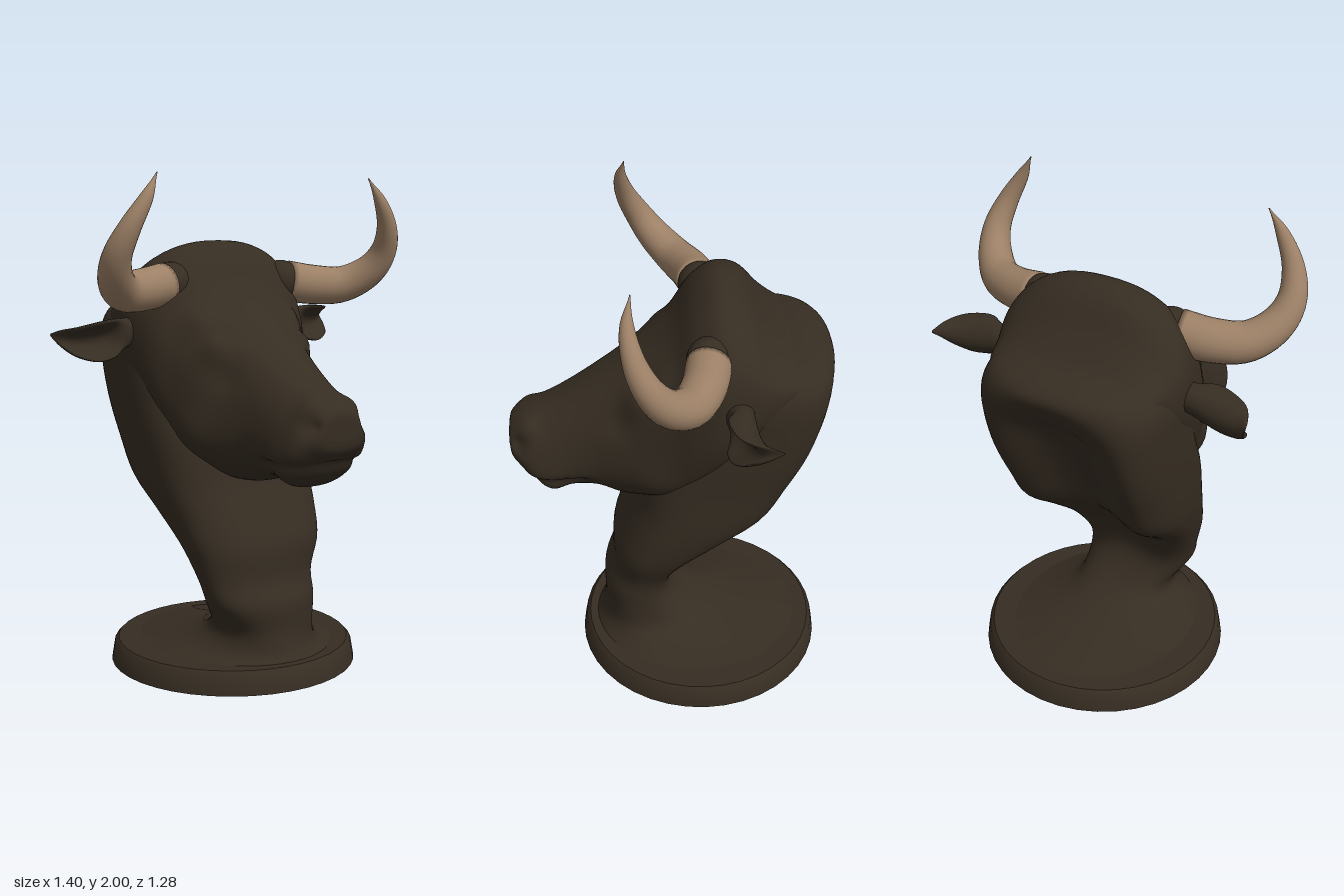
import * as THREE from 'three';
import { toCreasedNormals } from 'three/addons/utils/BufferGeometryUtils.js';

// Smooth interpolation through rows of numbers, u in 0..1
function sample(rows, u) {
  const f = Math.min(u * (rows.length - 1), rows.length - 1.0001);
  const i = Math.floor(f), t = f - i;
  const row = k => rows[Math.max(0, Math.min(rows.length - 1, k))];
  return rows[0].map((_, c) => {
    const a = row(i - 1)[c], b = row(i)[c], d = row(i + 1)[c], e = row(i + 2)[c];
    return b + 0.5 * t * (d - a + t * (2 * a - 5 * b + 4 * d - e + t * (3 * (b - d) + e - a)));
  });
}

// Closed skin through rings given by point(u, angle), capped at both ends, always facing outward
function loft(rings, sides, point) {
  const pts = [], index = [];
  for (let i = 0; i <= rings; i++)
    for (let j = 0; j < sides; j++) pts.push(point(i / rings, (j / sides) * Math.PI * 2));
  for (let i = 0; i < rings; i++)
    for (let j = 0; j < sides; j++) {
      const k = (j + 1) % sides;
      const a = i * sides + j, b = i * sides + k, c = a + sides, d = b + sides;
      index.push(a, b, c, b, d, c);
    }
  for (const start of [0, rings * sides]) {
    const centre = new THREE.Vector3();
    for (let j = 0; j < sides; j++) centre.addScaledVector(pts[start + j], 1 / sides);
    pts.push(centre);
    for (let j = 0; j < sides; j++) {
      const a = start + j, b = start + (j + 1) % sides;
      index.push(pts.length - 1, ...(start ? [a, b] : [b, a]));
    }
  }
  let volume = 0;
  const cross = new THREE.Vector3();
  for (let i = 0; i < index.length; i += 3)
    volume += pts[index[i]].dot(cross.crossVectors(pts[index[i + 1]], pts[index[i + 2]]));
  if (volume < 0) index.reverse();
  const g = new THREE.BufferGeometry().setFromPoints(pts);
  g.setIndex(index);
  g.computeVertexNormals();
  return g;
}

// Superellipse coordinate
const power = (v, n) => Math.sign(v) * Math.pow(Math.abs(v), 2 / n);

// Head cross-sections: z, centre x, top, bottom, half width, roundness, narrowing towards the top
const headRows = [
  [0.645, -0.025, 1.12, 1.03, 0.08, 2.2, 0.1], [0.635, -0.025, 1.145, 0.99, 0.11, 2.3, 0.2],
  [0.60, -0.025, 1.175, 0.95, 0.14, 2.4, 0.25], [0.55, -0.025, 1.20, 0.89, 0.168, 2.4, 0.25],
  [0.48, -0.025, 1.23, 0.835, 0.182, 2.4, 0.2], [0.40, -0.025, 1.275, 0.855, 0.187, 2.4, 0.15],
  [0.30, -0.025, 1.34, 0.85, 0.205, 2.4, 0.1], [0.20, -0.025, 1.405, 0.815, 0.245, 2.4, 0.05],
  [0.10, -0.025, 1.475, 0.81, 0.29, 2.4, 0], [0.0, -0.02, 1.57, 0.83, 0.335, 2.4, 0],
  [-0.08, -0.015, 1.69, 0.88, 0.375, 2.4, 0], [-0.17, -0.01, 1.75, 0.98, 0.40, 2.4, 0],
  [-0.27, -0.02, 1.715, 1.10, 0.40, 2.5, 0], [-0.36, -0.025, 1.61, 1.22, 0.375, 2.5, 0],
  [-0.45, -0.025, 1.525, 1.36, 0.34, 2.4, 0], [-0.53, -0.025, 1.49, 1.41, 0.26, 2.3, 0],
];

// Mirrored bumps and dents of the head: x, y, z, radius, amount
const features = [
  [0.11, 1.08, 0.60, 0.035, -0.03],  // nostril
  [0.09, 1.14, 0.57, 0.045, 0.015],  // nostril wing
  [0.22, 1.34, 0.15, 0.05, 0.025],   // eyelid
  [0.22, 1.24, 0.20, 0.07, -0.02],   // hollow below the eye
  [0.24, 1.45, 0.06, 0.06, 0.02],    // brow
  [0.28, 1.00, 0.08, 0.10, 0.025],   // cheek
];

function headGeometry() {
  return loft(80, 72, (u, a) => {
    const [z, cx, top, bottom, w, n, taper] = sample(headRows, u);
    const mid = (top + bottom) / 2;
    const rise = power(Math.cos(a), n);
    const dx = w * power(Math.sin(a), n) * (1 - taper * rise), dy = (top - bottom) / 2 * rise;
    let push = 0;
    for (const [fx, fy, fz, r, amount] of features) {
      const d2 = (Math.abs(dx) - fx) ** 2 + (mid + dy - fy) ** 2 + (z - fz) ** 2;
      push += amount * Math.exp(-d2 / (r * r));
    }
    // Mouth groove
    if (z > 0.3) push -= 0.018 * Math.min(1, (z - 0.3) / 0.08) * Math.exp(-(((mid + dy - 0.925) / 0.018) ** 2));
    const scale = 1 + push / Math.max(0.05, Math.hypot(dx, dy));
    return new THREE.Vector3(cx + dx * scale, mid + dy * scale, z);
  });
}

// Neck cross-sections: y, centre x, half width, front z, back z, depth of back hollow, roundness
const neckRows = [
  [0.085, 0.025, 0.42, 0.33, -0.60, 0, 2], [0.12, 0.02, 0.30, 0.31, -0.40, 0, 2],
  [0.16, 0.015, 0.225, 0.295, -0.20, 0, 2.2], [0.22, 0.01, 0.205, 0.285, -0.085, 0.01, 2.4],
  [0.32, -0.022, 0.235, 0.285, -0.015, 0.02, 2.4], [0.42, -0.03, 0.255, 0.25, -0.03, 0.04, 2.4],
  [0.55, -0.02, 0.30, 0.24, -0.12, 0.07, 2.6], [0.68, -0.02, 0.33, 0.19, -0.27, 0.11, 2.9],
  [0.80, -0.025, 0.35, 0.14, -0.415, 0.14, 3.1], [0.95, -0.03, 0.36, 0.10, -0.505, 0.16, 3.1],
  [1.10, -0.03, 0.37, 0.03, -0.575, 0.16, 3.1], [1.25, -0.03, 0.375, -0.02, -0.622, 0.13, 3],
  [1.37, -0.03, 0.375, -0.05, -0.642, 0.05, 2.8], [1.45, -0.03, 0.35, -0.10, -0.63, 0, 2.6],
  [1.495, -0.03, 0.30, -0.15, -0.59, 0, 2.5], [1.52, -0.03, 0.18, -0.25, -0.50, 0, 2.3],
];

function neckGeometry() {
  return loft(64, 64, (u, a) => {
    const [y, cx, w, zf, zb, hollow, n] = sample(neckRows, u);
    const dx = w * power(Math.sin(a), n);
    const back = Math.min(1, Math.max(0, -Math.cos(a)) * 2);
    const bowl = Math.max(0, 1 - (dx / (0.85 * w)) ** 2) ** 2;
    const z = (zf + zb) / 2 + (zf - zb) / 2 * power(Math.cos(a), n) + hollow * back * bowl;
    return new THREE.Vector3(cx + dx, y, z);
  });
}

// Horn: tapered sweep along a curve
const hornPath = [
  [0.305, 1.58, -0.125], [0.42, 1.563, -0.098], [0.54, 1.563, -0.04], [0.62, 1.62, 0.04],
  [0.645, 1.70, 0.10], [0.62, 1.80, 0.15], [0.56, 1.91, 0.172], [0.507, 2.0, 0.158],
];
const hornRadii = [[0.085], [0.083], [0.077], [0.067], [0.055], [0.042], [0.025], [0.002]];

function hornGeometry(side) {
  const curve = new THREE.CatmullRomCurve3(hornPath.map(p => new THREE.Vector3(...p)));
  const steps = 40, frames = curve.computeFrenetFrames(steps);
  return loft(steps, 24, (u, a) => {
    const i = Math.round(u * steps), r = sample(hornRadii, u)[0];
    const p = curve.getPoint(u)
      .addScaledVector(frames.normals[i], r * Math.cos(a))
      .addScaledVector(frames.binormals[i], r * Math.sin(a));
    p.x *= side;
    return p;
  });
}

// Ear: cupped leaf; rows hold x, y, z of the rim, half height, half thickness, cup depth
const earRows = [
  [0.34, 1.40, -0.235, 0.05, 0.055, 0], [0.42, 1.40, -0.23, 0.06, 0.06, 0.02],
  [0.48, 1.393, -0.20, 0.076, 0.095, 0.13], [0.54, 1.39, -0.205, 0.077, 0.098, 0.15],
  [0.60, 1.40, -0.235, 0.06, 0.085, 0.13], [0.635, 1.418, -0.295, 0.035, 0.045, 0.06],
  [0.65, 1.432, -0.36, 0.006, 0.006, 0],
];

function earGeometry(side, reach, droop) {
  return loft(30, 36, (u, a) => {
    const [x, y, z, h, t, cup] = sample(earRows, u);
    const dz = t * Math.cos(a) - cup * Math.max(0, Math.cos(a)) ** 2;
    const out = (x - 0.34) / 0.31;
    return new THREE.Vector3(side * (x + reach * out), y - droop * out + h * Math.sin(a), z + dz);
  });
}

export function createModel() {
  const model = new THREE.Group();
  model.name = 'bullBust';
  const hide = new THREE.MeshStandardMaterial({ name: 'darkBrownHide', color: 0x362d22 });
  const horn = new THREE.MeshStandardMaterial({ name: 'tanHorn', color: 0x9c8066 });
  const add = (name, geometry, material) => {
    const mesh = new THREE.Mesh(geometry, material);
    mesh.name = name;
    model.add(mesh);
    return mesh;
  };

  // Round plinth
  const profile = [[0, 0], [0.515, 0], [0.502, 0.075], [0.485, 0.093], [0, 0.1]];
  const plinth = new THREE.LatheGeometry(profile.map(p => new THREE.Vector2(...p)), 40);
  add('plinth', toCreasedNormals(plinth, 0.7), hide).position.set(0.025, 0, -0.125);

  add('neck', neckGeometry(), hide);
  add('head', headGeometry(), hide);

  // Paired horns, horn bases and ears
  for (const side of [1, -1]) {
    const label = side > 0 ? 'left' : 'right';
    add(label + 'Horn', hornGeometry(side), horn);
    add(label + 'HornBase', new THREE.SphereGeometry(0.088, 24, 16), hide).position.set(side * 0.275, 1.58, -0.13);
    add(label + 'Ear', earGeometry(side, side > 0 ? 0 : 0.035, side > 0 ? 0 : 0.05), hide);
  }
  return model;
}
